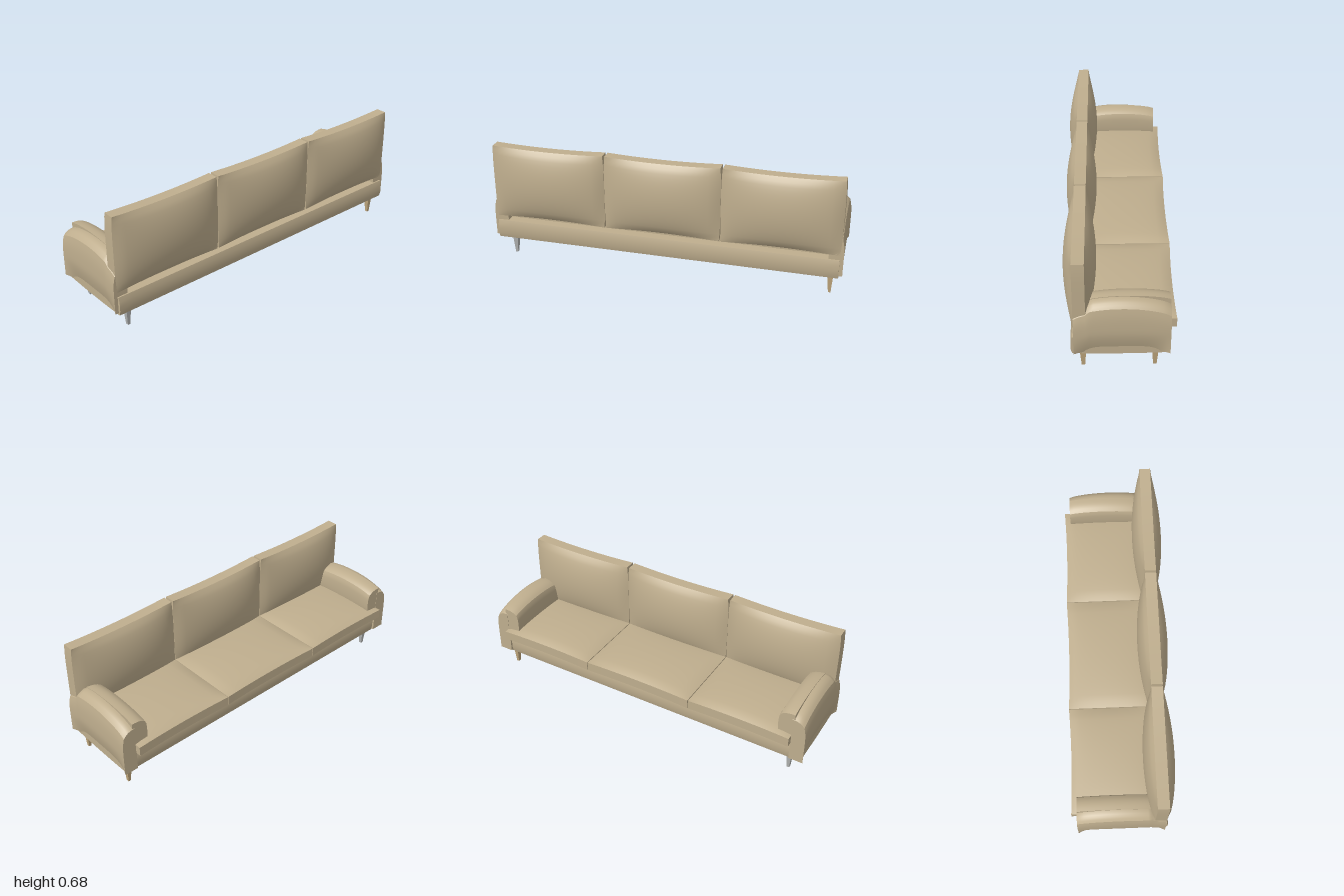
import * as THREE from 'three';

const fabric = new THREE.MeshStandardMaterial({ color: 0xbfae8e });
fabric.name = 'tanFabric';
const metal = new THREE.MeshStandardMaterial({ color: 0xb0b2b1 });
metal.name = 'greyMetal';
const wood = new THREE.MeshStandardMaterial({ color: 0xbfa67c });
wood.name = 'tanWood';

const { lerp, clamp } = THREE.MathUtils;

// Grid box whose points (u, v, w in -1..1) are placed by a rule; side flips z
function softBox(name, material, segs, rule, side = 1) {
  const geo = new THREE.BoxGeometry(2, 2, 2, ...segs);
  const pos = geo.attributes.position;
  for (let i = 0; i < pos.count; i++) {
    const [x, y, z] = rule(pos.getX(i), pos.getY(i), pos.getZ(i) * side);
    pos.setXYZ(i, x, y, z * side);
  }
  geo.computeVertexNormals();
  const mesh = new THREE.Mesh(geo, material);
  mesh.name = name;
  return mesh;
}

const span = (t, a, b) => lerp(a, b, (t + 1) / 2);
const dome = (t, power) => Math.pow(Math.max(0, 1 - t * t), power);

export function createModel() {
  const sofa = new THREE.Group();
  sofa.name = 'sofa';

  // Long upholstered base with a slightly sagging underside
  sofa.add(softBox('base', fabric, [8, 4, 24], (u, v, w) => {
    const tuck = 1 - 0.03 * Math.pow(Math.abs(v), 6);
    const sag = v < 0 ? 0.005 * dome(u, 1) * -v : 0;
    return [0.003 + u * 0.242 * tuck, span(v, 0.117, 0.225) - sag, w * 0.98];
  }));

  // Three seat and three back cushions
  for (const i of [-1, 0, 1]) {
    const z0 = i === 0 ? -0.326 : i < 0 ? -0.922 : 0.33;
    const z1 = i === 0 ? 0.326 : i < 0 ? -0.33 : 0.922;
    sofa.add(softBox('seatCushion', fabric, [16, 4, 18], (u, v, w) => {
      const puff = dome(u, 0.5) * dome(w, 0.5);
      const frontDip = 0.008 * dome(w, 1) * (1 - u) / 2;
      const half = v > 0 ? 0.027 + 0.028 * puff : 0.027 + 0.016 * puff;
      const x = span(u, -0.283, 0.2) + frontDip;
      return [x, 0.262 + v * half, span(w, z0, z1)];
    }));

    sofa.add(softBox('backCushion', fabric, [4, 18, 20], (u, v, w) => {
      const half = 0.031 + 0.053 * dome(v, 0.7) * dome(w, 0.65);
      const dip = 0.01 * dome(w, 1) * v;
      const pinch = 0.006 * Math.pow(Math.abs(v), 4);
      const y = span(v, 0.25, 0.683) - dip;
      return [0.199 + u * half, y, i * 0.657 + w * (0.328 - pinch)];
    }));
  }

  // Arms: a domed outer shell and a softer pad inside it
  for (const side of [-1, 1]) {
    const arm = new THREE.Group();
    arm.name = side > 0 ? 'leftArm' : 'rightArm';

    arm.add(softBox('armShell', fabric, [24, 12, 6], (u, v, w) => {
      const x = span(u, -0.25, 0.23);
      const outer = (w + 1) / 2;
      const notch = x > 0.168 ? 0.018 : 0;
      const crown = 0.395 + 0.05 * dome(clamp(u, -1, 1), 0.75) - notch;
      const top = crown - 0.03 * Math.pow(outer, 3);
      const bottom = 0.128 - 0.014 * dome(u, 1);
      const tuck = 0.035 * Math.pow(Math.max(0, -v), 1.5) * dome(u * u, 1);
      const round = 0.012 * Math.pow(Math.max(0, v), 3);
      return [x, span(v, bottom, top), span(w, 0.92, 1 - tuck - round)];
    }, side));

    arm.add(softBox('armPad', fabric, [16, 8, 8], (u, v, w) => {
      const inner = (1 - w) / 2;
      const top = 0.427 + 0.023 * dome(u, 0.8) - 0.022 * Math.pow(inner, 3);
      const bottom = 0.275;
      const swell = 0.01 * (1 - dome(v, 0.5));
      return [span(u, -0.248, 0.16), span(v, bottom, top), span(w, 0.843 + swell, 0.932)];
    }, side));
    sofa.add(arm);

    // Tapered legs
    for (const x of [-0.178, 0.185]) {
      sofa.add(softBox('leg', side > 0 ? metal : wood, [1, 1, 1], (u, v, w) => [
        x + u * span(v, 0.009, 0.0175),
        span(v, 0, 0.122),
        (side > 0 ? 0.902 : -0.937) + w * span(v, 0.007, 0.016),
      ]));
    }
  }

  return sofa;
}
